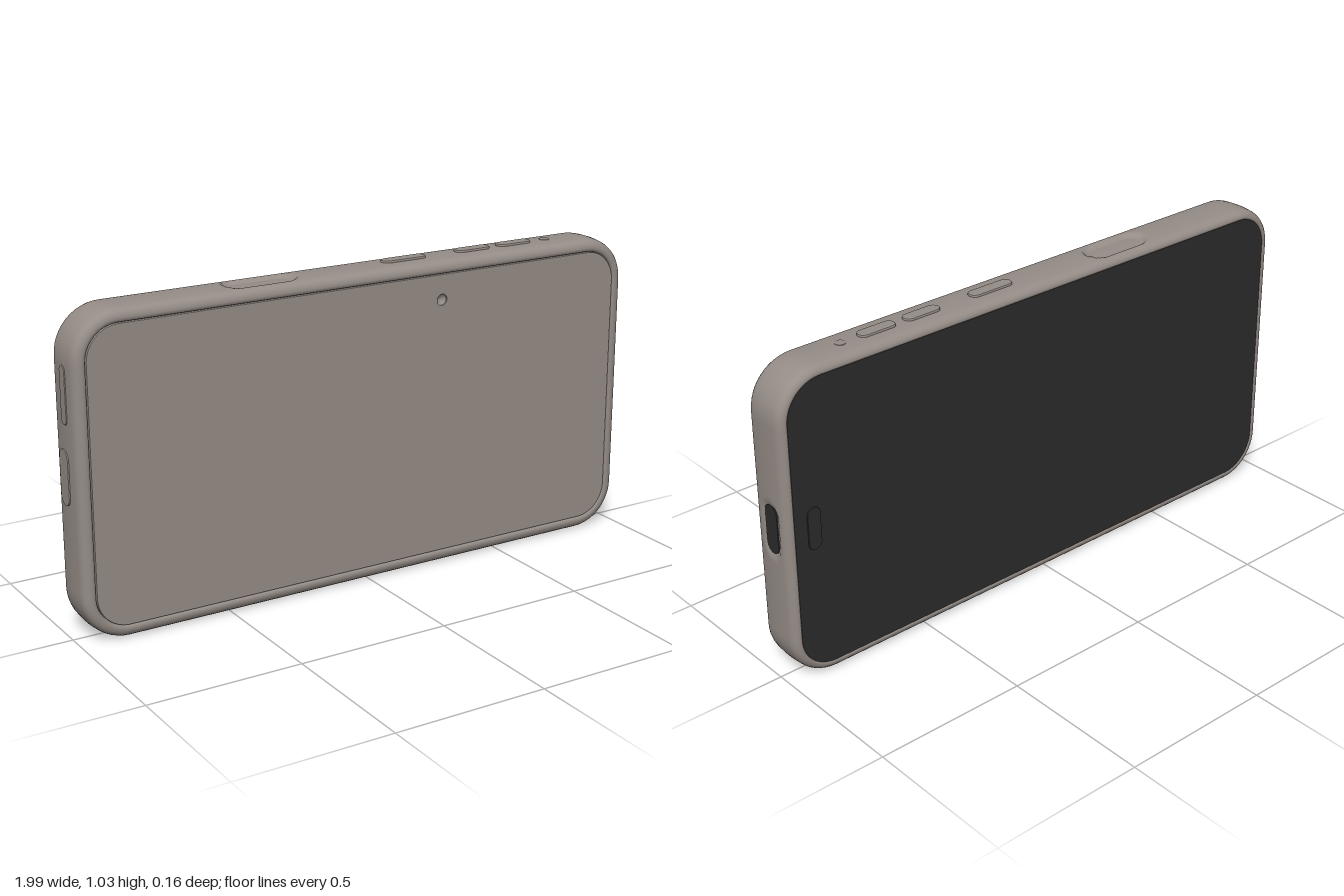
import * as THREE from 'three';

const HALF_W = 0.994, HALF_H = 0.51, MID_Y = 0.512, RADIUS = 0.15;

// Rounded rectangle centred on the origin
function roundRect(w, h, r, Type = THREE.Shape) {
  const s = new Type(), x = w / 2, y = h / 2;
  r = Math.min(r, x, y);
  s.absarc(x - r, y - r, r, 0, Math.PI / 2);
  s.absarc(-x + r, y - r, r, Math.PI / 2, Math.PI);
  s.absarc(-x + r, -y + r, r, Math.PI, Math.PI * 1.5);
  s.absarc(x - r, -y + r, r, Math.PI * 1.5, Math.PI * 2);
  s.closePath();
  return s;
}

// Softly bevelled slab whose outer face lies at local z = 0
function slab(shape, thick, bevel) {
  const g = new THREE.ExtrudeGeometry(shape, {
    depth: thick - bevel, bevelEnabled: true, bevelThickness: bevel,
    bevelSize: bevel, bevelOffset: -bevel, bevelSegments: 2, curveSegments: 12,
  });
  return g.translate(0, 0, -thick);
}

// Shallow recesses in the edge band: side normal, centre along side, half length, half depth in z
const recesses = [
  { nx: 0, ny: 1, at: -0.345, len: 0.118, wid: 0.044, deep: 0.012 },
  { nx: 1, ny: 0, at: 0.515, len: 0.088, wid: 0.037, deep: 0.007 },
  { nx: 0, ny: -1, at: 0.17, len: 0.078, wid: 0.026, deep: 0.006 },
];

function recessDepth(nx, ny, x, y, z) {
  let d = 0;
  for (const r of recesses) {
    if (nx * r.nx + ny * r.ny < 0.999) continue;
    const along = Math.abs((r.nx ? y : x) - r.at);
    const dist = Math.hypot(Math.max(along - (r.len - r.wid), 0), z) - r.wid;
    d = Math.max(d, r.deep * (1 - THREE.MathUtils.smoothstep(dist, -0.008, 0.006)));
  }
  return d;
}

// Case shell: rounded rectangle outlines lofted from front lip to back lip
function caseGeometry() {
  const outline = [];
  const cx = HALF_W - RADIUS, cy = HALF_H - RADIUS;
  const cores = [[cx, cy], [-cx, cy], [-cx, -cy], [cx, -cy]];
  cores.forEach(([x, y], k) => {
    for (let i = 0; i <= 12; i++) {
      const a = (k + i / 12) * Math.PI / 2;
      outline.push([x, y, Math.cos(a), Math.sin(a)]);
    }
    const [x2, y2] = cores[(k + 1) % 4], n = k % 2 ? 56 : 140, a = (k + 1) * Math.PI / 2;
    for (let i = 1; i < n; i++) {
      const t = i / n;
      outline.push([x + (x2 - x) * t, y + (y2 - y) * t, Math.cos(a), Math.sin(a)]);
    }
  });
  // [inset, z]
  const profile = [[0.056, 0.068], [0.044, 0.068], [0.042, 0.076], [0.038, 0.08], [0.03, 0.081],
    [0.02, 0.0785], [0.012, 0.073], [0.007, 0.066], [0.004, 0.057]];
  for (let z = 0.05; z > -0.051; z -= 0.0067) profile.push([1.2 * z * z, z]);
  profile.push([0.005, -0.058], [0.009, -0.066], [0.015, -0.072], [0.022, -0.075],
    [0.028, -0.0755], [0.031, -0.074], [0.033, -0.068], [0.045, -0.066]);

  const pos = [], index = [], n = outline.length;
  profile.forEach(([inset, z], i) => {
    outline.forEach(([x, y, nx, ny], j) => {
      const r = RADIUS - inset - recessDepth(nx, ny, x, y + MID_Y, z);
      pos.push(x + nx * r, MID_Y + y + ny * r, z);
      if (i === profile.length - 1) return;
      const a = i * n + j, b = i * n + (j + 1) % n, c = a + n, d = b + n;
      index.push(a, c, b, b, c, d);
    });
  });
  const g = new THREE.BufferGeometry();
  g.setAttribute('position', new THREE.Float32BufferAttribute(pos, 3));
  g.setIndex(index);
  g.computeVertexNormals();
  return g;
}

export function createModel() {
  const group = new THREE.Group();
  const body = new THREE.MeshStandardMaterial({ color: 0x968d87 });
  body.name = 'warmGrey';
  const dark = new THREE.MeshStandardMaterial({ color: 0x2d2d2d });
  dark.name = 'darkGlass';

  function add(name, geo, mat, p, rx = 0, ry = 0) {
    const m = new THREE.Mesh(geo, mat);
    m.name = name;
    m.position.set(...p);
    m.rotation.set(rx, ry, 0);
    group.add(m);
    return m;
  }
  const Q = Math.PI / 2;

  add('caseShell', caseGeometry(), body, [0, 0, 0]);

  // Front panel with a small round dimple
  const inset = 0.045, holeX = 0.265, holeY = 0.895;
  const panel = roundRect(2 * (HALF_W - inset), 2 * (HALF_H - inset), RADIUS - inset);
  const hole = new THREE.Path();
  hole.absarc(holeX, holeY - MID_Y, 0.018, 0, Math.PI * 2);
  panel.holes.push(hole);
  add('frontPanel', slab(panel, 0.02, 0.002), body, [0, MID_Y, 0.079]);
  const bowl = [[0, -0.014], [0.009, -0.012], [0.016, -0.006], [0.021, -0.001]]
    .map(([x, y]) => new THREE.Vector2(x, y));
  add('frontDimple', new THREE.LatheGeometry(bowl, 24), body, [holeX, holeY, 0.078], Q).material.side = THREE.DoubleSide;

  // Back screen and its raised pill
  const si = 0.032;
  add('screen', slab(roundRect(2 * (HALF_W - si), 2 * (HALF_H - si), RADIUS - si), 0.02, 0.001),
    dark, [0, MID_Y, -0.0735], 0, Math.PI);
  add('screenPill', slab(roundRect(0.046, 0.14, 0.023), 0.008, 0.003), dark, [0.895, 0.515, -0.078], 0, Math.PI);

  // Top buttons: [name, x, length, width]
  for (const [name, x, len, wid] of [['longButton', 0.168, 0.16, 0.042], ['firstButton', 0.43, 0.13, 0.042],
    ['secondButton', 0.593, 0.13, 0.042], ['smallDot', 0.72, 0.036, 0.036]]) {
    const top = name === 'smallDot' ? 1.0245 : 1.029;
    add(name, slab(roundRect(len, wid, wid / 2), 0.012, 0.004), body, [x, top, 0], -Q);
  }

  // Raised pads on the model's right end
  add('endPad', slab(roundRect(0.06, 0.175, 0.03), 0.01, 0.003), body, [-0.998, 0.515, -0.008], 0, -Q);
  add('endSlider', slab(roundRect(0.036, 0.18, 0.018), 0.01, 0.003), body, [-0.997, 0.77, 0.008], 0, -Q);

  // Dark openings in the left end and the underside
  add('endPort', slab(roundRect(0.058, 0.162, 0.029), 0.006, 0.0005), dark, [0.99, 0.515, 0.002], 0, Q);
  add('bottomSlot', slab(roundRect(0.14, 0.04, 0.02), 0.006, 0.0005), dark, [0.17, 0.0055, 0], Q);

  return group;
}
